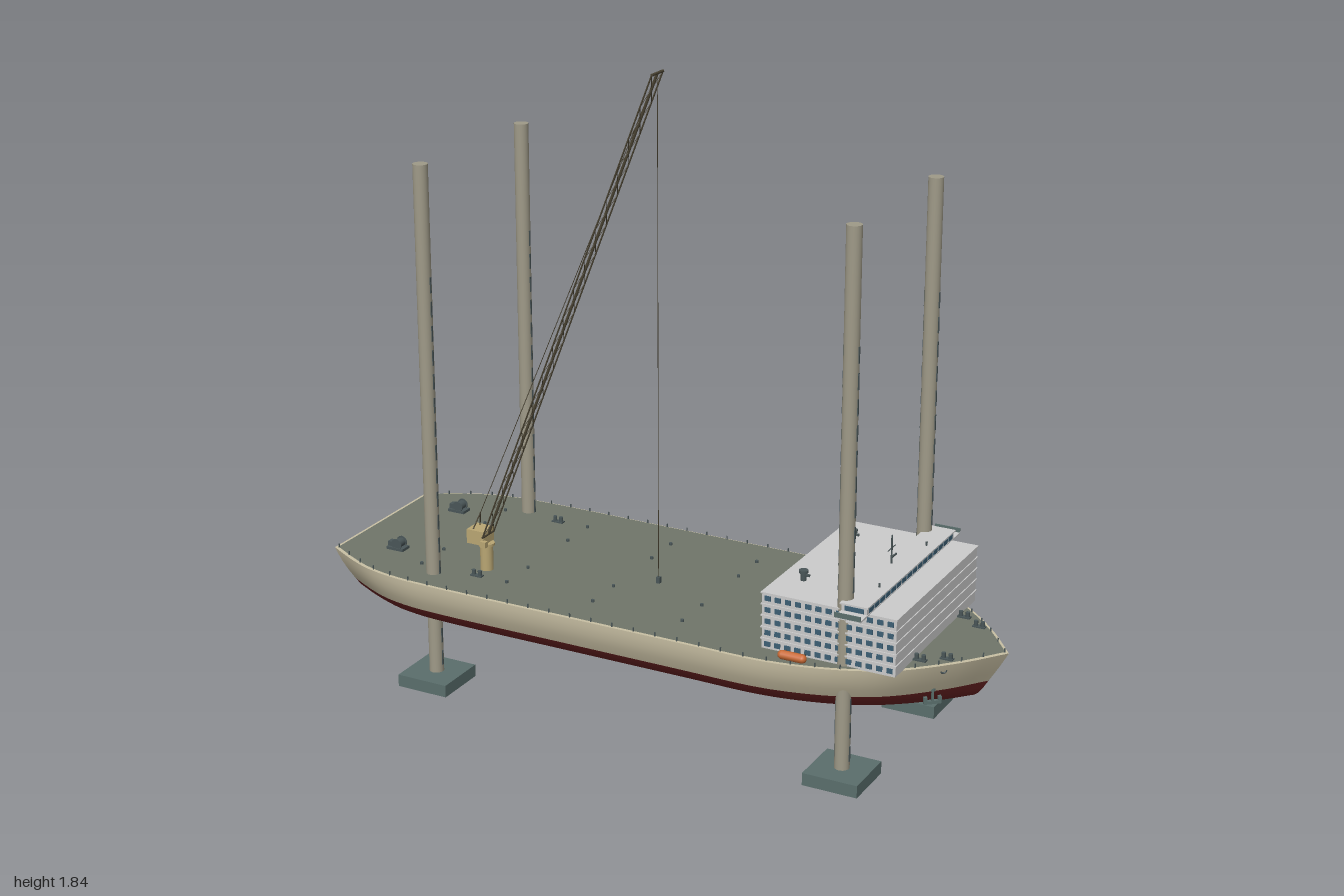
import * as THREE from 'three';
import { mergeGeometries, toCreasedNormals } from 'three/addons/utils/BufferGeometryUtils.js';

const CREAM = 0xc9c0a4, RED = 0x6a2222, DECK = 0x70766a, LEG = 0x9f9a88, TEAL = 0x5a6e6c,
  WHITE = 0xcfd2cf, GLASS = 0x3d5f74, TAN = 0xb9a673, BOOM = 0x4b4433, ORANGE = 0xc96a35, DARK = 0x4a5658;
const V = (x, y, z) => new THREE.Vector3(x, y, z);
const DECK_Y = 0.34;

export function createModel() {
  const ship = new THREE.Group();
  ship.name = 'jackUpVessel';

  const add = (name, geos, color, side = THREE.FrontSide) => {
    const list = [].concat(geos).map(g => (g.index ? g.toNonIndexed() : g));
    const mesh = new THREE.Mesh(mergeGeometries(list), new THREE.MeshStandardMaterial({ color, side }));
    mesh.name = name;
    ship.add(mesh);
    return mesh;
  };
  const box = (w, h, d, x, y, z) => new THREE.BoxGeometry(w, h, d).translate(x, y, z);
  const cyl = (r, h, x, y, z, n = 12) => new THREE.CylinderGeometry(r, r, h, n).translate(x, y, z);
  // straight bar between two points
  const bar = (a, b, r, n = 5) => {
    const d = b.clone().sub(a);
    const q = new THREE.Quaternion().setFromUnitVectors(V(0, 1, 0), d.clone().normalize());
    return new THREE.CylinderGeometry(r, r, d.length(), n).applyQuaternion(q)
      .translate((a.x + b.x) / 2, (a.y + b.y) / 2, (a.z + b.z) / 2);
  };
  const bothSides = f => [1, -1].map(f);

  // Hull plan: stern corner to bow tip, mirrored
  const half = new THREE.CatmullRomCurve3([[-1, .24], [-.91, .29], [-.83, .325], [-.73, .346], [-.6, .353],
    [-.2, .353], [.2, .353], [.42, .353], [.53, .338], [.66, .3], [.78, .238], [.91, .115], [1, 0]]
    .map(([x, z]) => V(x, 0, z)), false, 'centripetal').getSpacedPoints(64);
  const plan = [...half, ...half.slice(0, -1).reverse().map(p => V(p.x, 0, -p.z))];

  // skin through scaled plans, listed from top to bottom as [y, x scale, z scale]
  const skin = levels => {
    const n = plan.length, pos = [], idx = [];
    for (const [y, sx, sz] of levels) for (const p of plan) pos.push(p.x * sx, y, p.z * sz);
    for (let l = 0; l < levels.length - 1; l++) for (let i = 0; i < n; i++) {
      const j = (i + 1) % n, a = l * n + i, d = l * n + j, b = a + n, c = d + n;
      idx.push(b, c, d, b, d, a);
    }
    const g = new THREE.BufferGeometry();
    g.setAttribute('position', new THREE.Float32BufferAttribute(pos, 3));
    g.setIndex(idx);
    return toCreasedNormals(g, 0.6);
  };
  const cap = (y, sx, sz, up) => new THREE.ShapeGeometry(new THREE.Shape(
    plan.map(p => new THREE.Vector2(p.x * sx, p.z * sz * (up ? -1 : 1)))))
    .rotateX(up ? -Math.PI / 2 : Math.PI / 2).translate(0, y, 0);

  add('hullTopsides', skin([[DECK_Y, 1, 1], [.325, .992, .998], [.3, .978, .985], [.275, .963, .962], [.248, .946, .925]]), CREAM);
  add('hullBottom', skin([[.248, .946, .925], [.225, .932, .88], [.208, .92, .82], [.198, .908, .74]]), RED);
  add('hullKeel', cap(.198, .908, .74, false), RED);
  add('deckEdge', cap(DECK_Y, 1, 1, true), CREAM);
  add('deck', cap(DECK_Y + .002, .99, .982, true), DECK);

  // Rail posts along the deck edge
  add('railPosts', plan.filter((p, i) => i % 2 === 0)
    .map(p => box(.003, .012, .003, p.x * .988, DECK_Y + .006, p.z * .98)), DARK);

  // Jacking legs with racks and square footings
  for (const x of [-.643, .64]) for (const z of [-.263, .263]) {
    add('leg', cyl(.021, 1.52, x, .78, z, 20), LEG);
    const teeth = [];
    for (let y = .08; y < 1.24; y += .07) for (const s of [-1, 1]) teeth.push(box(.004, .045, .006, x + s * .0205, y, z));
    add('legRack', teeth, DARK);
    add('footing', box(.16, .036, .16, x, .018, z), TEAL);
  }

  // Accommodation block: five floors with projecting slabs
  const floors = [], slabs = [], windows = [];
  const H = .033, x0 = .402, x1 = .795, mid = (x0 + x1) / 2;
  for (let f = 0; f < 5; f++) {
    const y = DECK_Y + f * H;
    floors.push(box(x1 - x0 - .006, H, .556, mid, y + H / 2, 0));
    slabs.push(box(x1 - x0, .004, .564, mid, y + H - .002, 0));
    for (let i = 0; i < 13; i++) for (const s of [-1, 1])
      windows.push(box(.017, .014, .003, x0 + .02 + i * .0295, y + .016, s * .279));
  }
  add('accommodation', floors, WHITE);
  add('floorSlabs', slabs, WHITE);
  add('cabinWindows', windows, GLASS);

  // Bridge, its windows and wings
  const top = DECK_Y + 5 * H;
  add('bridge', box(.072, .022, .59, .679, top + .011, 0), WHITE);
  add('bridgeRoof', box(.08, .004, .6, .679, top + .023, 0), WHITE);
  const panes = [];
  for (let i = 0; i < 16; i++) panes.push(box(.003, .013, .027, .7155, top + .011, -.27 + i * .036));
  for (const s of [-1, 1]) panes.push(box(.055, .013, .003, .679, top + .011, s * .2955));
  add('bridgeWindows', panes, GLASS);
  add('bridgeWings', box(.075, .005, .68, .679, top, 0), WHITE);
  add('wingScreens', bothSides(s => box(.075, .014, .003, .679, top + .008, s * .339)), TEAL);

  // Roof fittings
  add('mast', [cyl(.0025, .085, .655, top + .065, 0, 6), bar(V(.655, top + .07, -.025), V(.655, top + .07, .025), .0015),
    box(.004, .004, .03, .662, top + .05, 0)], DARK);
  add('roofVents', bothSides(s => [cyl(.008, .022, .47, top + .011, s * .16), cyl(.013, .008, .47, top + .026, s * .16),
    box(.02, .006, .006, .478, top + .016, s * .16), cyl(.003, .012, .69, top + .03, s * .16)]).flat(), DARK);

  // Lifeboats on small cradles
  for (const s of [-1, 1]) {
    add('lifeboat', new THREE.CapsuleGeometry(.0125, .058, 6, 12).rotateZ(Math.PI / 2).translate(.517, .359, s * .325), ORANGE);
    add('lifeboatDavits', [-.028, .028].map(d => box(.004, .026, .01, .517 + d, .352, s * .308)), DARK);
  }

  // Crane pedestal and cab
  const cz = .17;
  add('cranePedestal', [cyl(.019, .085, -.522, .382, cz, 16), cyl(.024, .008, -.522, .42, cz, 16)], TAN);
  add('craneCab', [box(.056, .042, .056, -.542, .444, cz), box(.018, .018, .014, -.512, .43, cz + .03)], TAN);
  add('craneGantry', bothSides(s => bar(V(-.555, .46, cz + s * .02), V(-.54, .51, cz), .002)), BOOM);

  // Lattice boom: spine, two side chords and crossed lacing
  const foot = V(-.515, .45, cz), tip = V(.035, 1.84, cz), W = .031, bays = 16;
  const at = (t, s) => foot.clone().lerp(tip, t).add(V(0, 0, s * W));
  const lacing = [];
  for (let i = 0; i < bays; i++) {
    const a = i / bays, b = (i + 1) / bays, s = i % 2 ? 1 : -1;
    lacing.push(bar(at(a, s), at(b, -s), .0012, 4), bar(at(a, -s), at(b, s), .0012, 4));
  }
  add('boomSpine', bar(foot, tip, .0042, 8), BOOM);
  add('boomChords', bothSides(s => bar(at(0, s), at(1, s), .0022, 6)), BOOM);
  add('boomLacing', lacing, BOOM);
  add('boomEnds', [bar(at(0, -1), at(0, 1), .004), bar(at(1, -1), at(1, 1), .004)], BOOM);
  add('pendantWire', bar(V(-.54, .51, cz), tip, .0011, 4), BOOM);
  add('hoistWire', bar(V(.035, .425, cz), tip, .001, 4), BOOM);
  add('hookBlock', box(.011, .018, .011, .035, .421, cz), DARK);

  // Mooring winches at the stern
  for (const s of [-1, 1]) {
    add('winch', [box(.056, .008, .036, -.83, .346, s * .165),
      new THREE.CylinderGeometry(.013, .013, .026, 14).rotateX(Math.PI / 2).translate(-.825, .36, s * .165),
      ...[-1, 1].map(e => new THREE.CylinderGeometry(.017, .017, .003, 14).rotateX(Math.PI / 2).translate(-.825, .36, s * .165 + e * .014)),
      box(.014, .014, .02, -.85, .357, s * .165)], DARK);
  }

  // Bollard pairs and deck sockets
  const bollards = [], sockets = [];
  for (const s of [-1, 1]) {
    for (const [x, z] of [[-.52, .228], [.81, .155], [.87, .115]])
      bollards.push(box(.036, .004, .016, x, .344, s * z), cyl(.006, .016, x - .01, .352, s * z, 10), cyl(.006, .016, x + .01, .352, s * z, 10));
    for (const x of [-.705, -.42, -.14, .14]) for (const z of [.113, .23]) sockets.push(cyl(.005, .008, x, .345, s * z, 8));
  }
  add('bollards', bollards, DARK);
  add('deckSockets', sockets, DARK);

  // Bow anchors with hawse pipes
  for (const s of [-1, 1]) {
    const anchor = add('anchor', [box(.006, .04, .008, 0, 0, 0), box(.045, .009, .01, 0, -.016, 0),
      box(.009, .02, .01, -.02, -.01, 0), box(.009, .02, .01, .02, -.01, 0), cyl(.008, .01, 0, .022, 0, 10)], TEAL);
    anchor.position.set(.838, .232, s * .128);
    anchor.rotation.y = s * .72;
    const hawse = add('hawsePipe', new THREE.TorusGeometry(.008, .003, 6, 14), DARK);
    hawse.position.set(.872, .322, s * .142);
    hawse.rotation.y = s * .75;
  }

  return ship;
}
